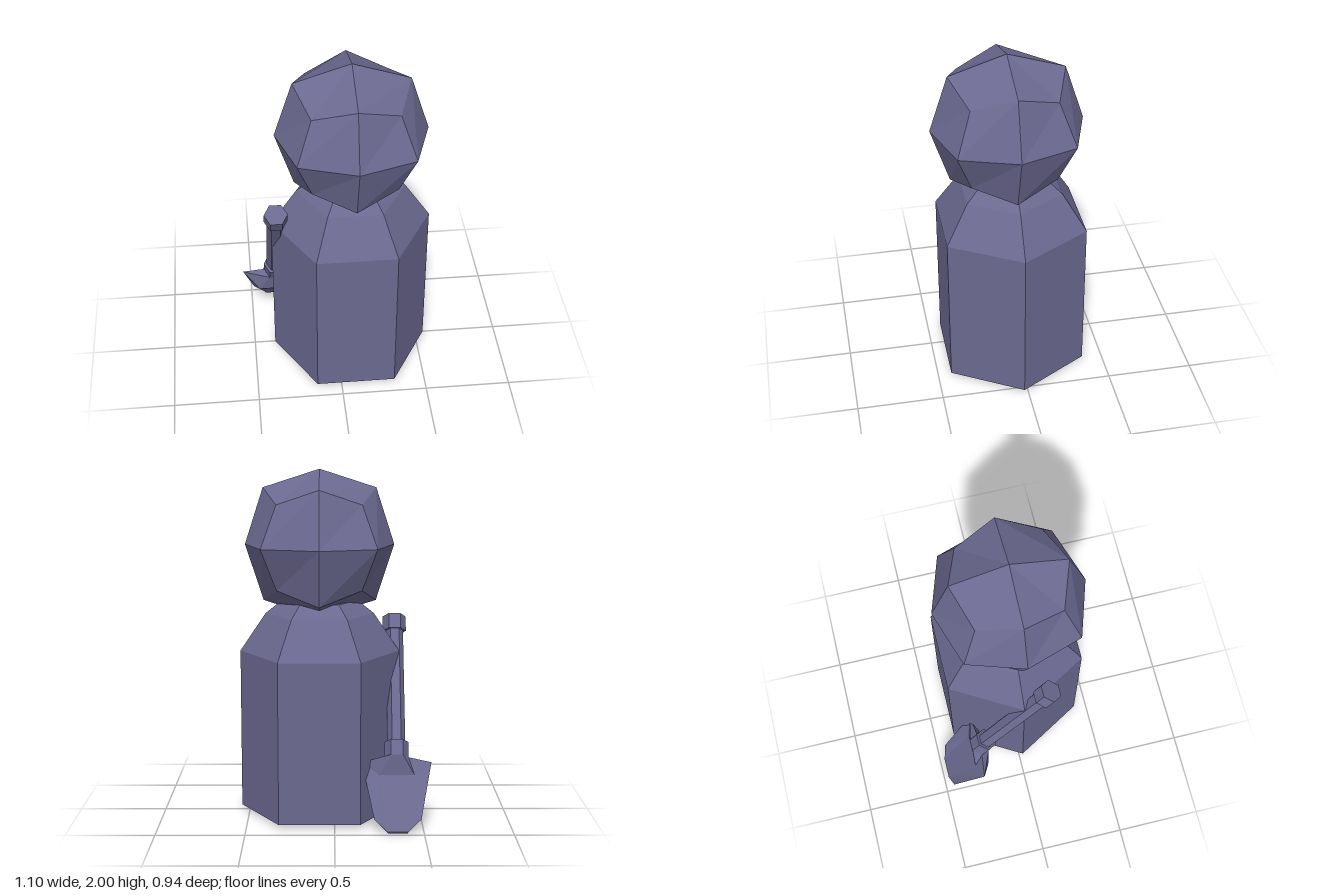
import * as THREE from 'three';

const material = new THREE.MeshStandardMaterial({ color: 0x6b6990, flatShading: true });

function add(parent, name, geometry, x = 0, y = 0, z = 0) {
  const mesh = new THREE.Mesh(geometry, material);
  mesh.name = name;
  mesh.position.set(x, y, z);
  parent.add(mesh);
  return mesh;
}

// Six-sided bar hanging down from y = top, corners on +x and -x
function hexBar(parent, name, radius, top, length) {
  const geometry = new THREE.CylinderGeometry(radius, radius, length, 6, 1, false, Math.PI / 2);
  return add(parent, name, geometry, 0, top - length / 2, 0);
}

// Box of 2 x 2 quads per face, pulled towards a ball
function headGeometry() {
  const geometry = new THREE.BoxGeometry(2, 2, 2, 2, 2, 2);
  const pos = geometry.attributes.position;
  const reach = [0, 0.43, 0.325, 0.24]; // face centre, edge middle, corner
  for (let i = 0; i < pos.count; i++) {
    const p = [pos.getX(i), pos.getY(i), pos.getZ(i)].map(Math.round);
    const r = reach[p.filter((c) => c !== 0).length];
    pos.setXYZ(i, p[0] * r, p[1] * r, p[2] * r);
  }
  return geometry;
}

// Loft through six-point mirrored sections, each given as side, front and back [x, y, z]
function bladeGeometry(sections) {
  const flip = ([x, y, z]) => [-x, y, z];
  const points = sections.flatMap(([s, f, b]) => [s, f, flip(f), flip(s), flip(b), b]);
  const index = [];
  for (let r = 0; r < sections.length - 1; r++) {
    for (let i = 0; i < 6; i++) {
      const a = r * 6 + i, b = r * 6 + (i + 1) % 6;
      index.push(a, b, b + 6, a, b + 6, a + 6);
    }
  }
  const end = (sections.length - 1) * 6;
  for (let i = 1; i < 5; i++) index.push(end, end + i, end + i + 1);
  const geometry = new THREE.BufferGeometry();
  geometry.setAttribute('position', new THREE.Float32BufferAttribute(points.flat(), 3));
  geometry.setIndex(index);
  geometry.computeVertexNormals();
  return geometry;
}

export function createModel() {
  const model = new THREE.Group();
  model.name = 'figureWithShovel';

  // Body: hexagonal column with sloped shoulders
  const profile = [[0, 0.02], [0.462, 0.02], [0.462, 0.95], [0.314, 1.17], [0.22, 1.245], [0, 1.25]]
    .map(([r, y]) => new THREE.Vector2(r, y));
  add(model, 'body', new THREE.LatheGeometry(profile, 6, Math.PI / 2), 0.086, 0, 0.023);

  // Head
  add(model, 'head', headGeometry(), 0.086, 1.57, 0.04);

  // Shovel: shaft leaning back by 30 degrees
  const shovel = new THREE.Group();
  shovel.name = 'shovel';
  shovel.position.x = -0.353;
  model.add(shovel);
  const shaft = new THREE.Group();
  shaft.name = 'shovelShaft';
  shaft.position.set(0, 1.125, 0.18);
  shaft.rotation.x = Math.PI / 6;
  shovel.add(shaft);
  hexBar(shaft, 'grip', 0.068, 0, 0.09);
  hexBar(shaft, 'handle', 0.051, -0.08, 0.7);
  hexBar(shaft, 'collar', 0.069, -0.77, 0.09);

  // Shovel blade: collar end, shoulders, lower sides, tip
  add(shovel, 'blade', bladeGeometry([
    [[0.069, 0.38, -0.25], [0.035, 0.35, -0.2], [0.035, 0.41, -0.3]],
    [[0.198, 0.355, -0.265], [0.1, 0.245, -0.22], [0.1, 0.29, -0.3]],
    [[0.132, 0.075, -0.45], [0.075, 0.075, -0.4], [0.075, 0.075, -0.432]],
    [[0.06, 0.01, -0.472], [0.055, 0, -0.465], [0.055, 0.01, -0.472]],
  ]));

  return model;
}
